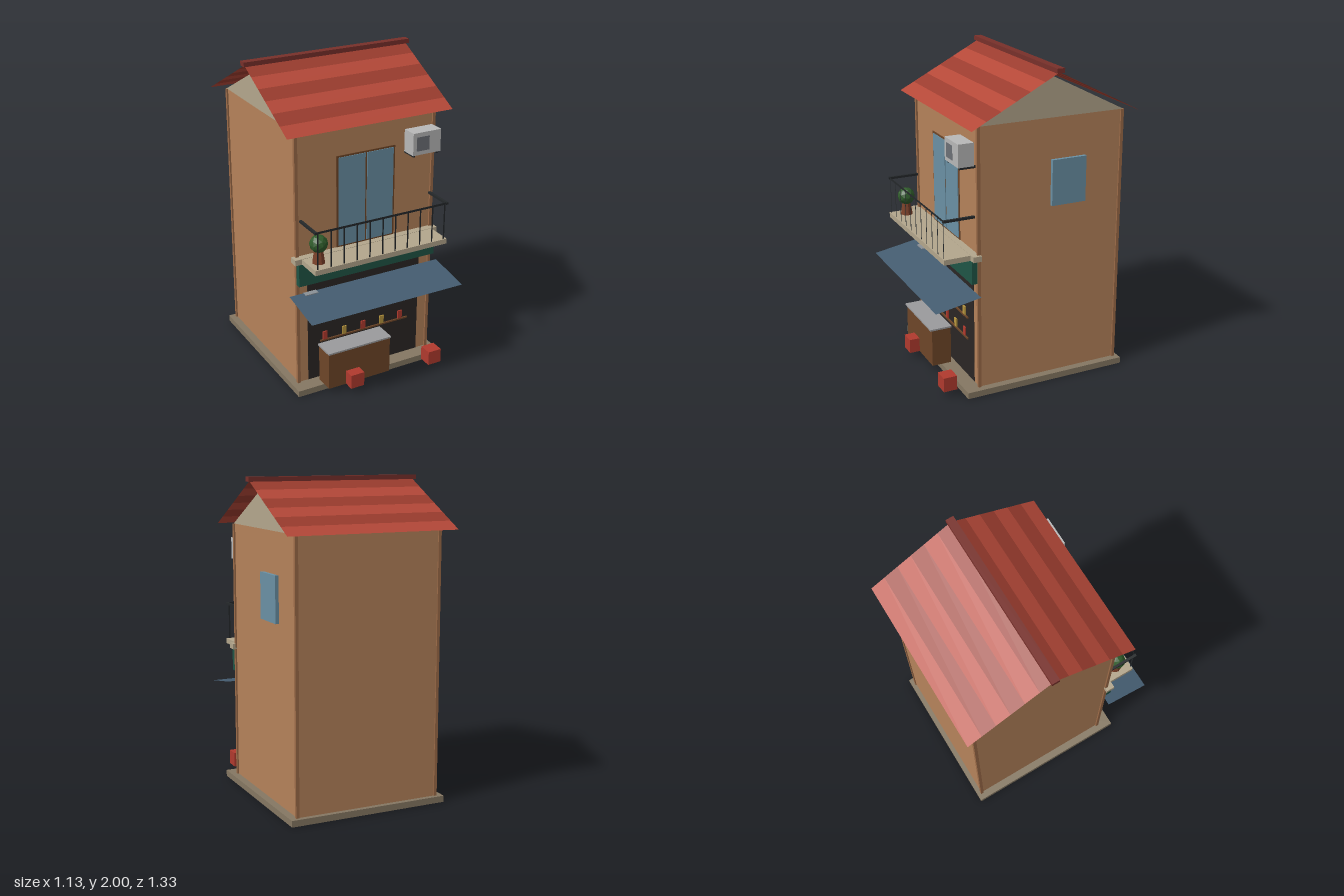
import * as THREE from 'three';

const cache = {};
function mat(color) {
  return cache[color] ??= new THREE.MeshStandardMaterial({ color, flatShading: true, side: THREE.DoubleSide });
}

function add(group, name, geometry, color) {
  const mesh = new THREE.Mesh(geometry, mat(color));
  mesh.name = name;
  group.add(mesh);
  return mesh;
}

// Box given by its extents on each axis
function box(group, name, [x0, x1], [y0, y1], [z0, z1], color) {
  const mesh = add(group, name, new THREE.BoxGeometry(x1 - x0, y1 - y0, z1 - z0), color);
  mesh.position.set((x0 + x1) / 2, (y0 + y1) / 2, (z0 + z1) / 2);
  return mesh;
}

// Thin sheet running along x between two (y, z) edges
function sheet(group, name, halfWidth, [ya, za], [yb, zb], color) {
  const mesh = add(group, name, new THREE.PlaneGeometry(2 * halfWidth, Math.hypot(yb - ya, zb - za)), color);
  mesh.position.set(0, (ya + yb) / 2, (za + zb) / 2);
  mesh.rotation.x = Math.atan2(zb - za, yb - ya);
  return mesh;
}

const WALL = 0xb5825a, TRIM = 0x9c6b48, STONE = 0x857762, TAN = 0xb3a68c, RED = 0xb03a2e,
  YELLOW = 0xb8963e, WOOD = 0x6e4628, DARK = 0x2a2624, GLASS = 0x6a90a4, IRON = 0x24282a;
const MID = -0.113; // z of the ridge

function building(g) {
  box(g, 'basePlinth', [-0.515, 0.515], [0, 0.04], [-0.62, 0.458], STONE);
  box(g, 'walls', [-0.468, 0.468], [0.04, 1.692], [-0.59, 0.361], WALL);
  for (const x of [-0.468, 0.468]) {
    for (const z of [-0.587, 0.362]) {
      box(g, 'cornerTrim', [x - 0.01, x + 0.01], [0.04, 1.692], [z - 0.01, z + 0.01], TRIM);
    }
  }
  // Side window on the model's left wall
  box(g, 'sideWindow', [0.465, 0.49], [1.152, 1.438], [-0.34, -0.112], GLASS);
}

function roof(g) {
  // Attic gable prism
  const tri = new THREE.Shape([[-0.595, 1.692], [0.37, 1.692], [MID, 1.938]].map(p => new THREE.Vector2(-p[0], p[1])));
  const gable = add(g, 'gables', new THREE.ExtrudeGeometry(tri, { depth: 0.94, bevelEnabled: false }), TAN);
  gable.rotation.y = Math.PI / 2;
  gable.position.x = -0.47;
  // Striped slopes
  const bands = 6, run = 0.551, rise = 0.283;
  for (const side of [-1, 1]) {
    for (let i = 0; i < bands; i++) {
      const at = t => [1.692 + rise * t, MID + side * run * (1 - t)];
      sheet(g, 'roofBand', 0.553, at(i / bands), at((i + 1) / bands), i % 2 ? 0x9a3c2e : 0xb44838);
    }
  }
  box(g, 'ridgeCap', [-0.567, 0.567], [1.972, 2], [MID - 0.025, MID + 0.025], 0x78302a);
}

function shop(g) {
  box(g, 'shopOpening', [-0.4, 0.395], [0.04, 0.727], [0.35, 0.3635], DARK);
  [0.298, 0.44, 0.582].forEach((y, row) => {
    box(g, 'shelf', [-0.318, 0.315], [y - 0.005, y + 0.005], [0.355, 0.373], WOOD);
    for (let i = 0; i < 5; i++) {
      const x = -0.283 + i * 0.136;
      box(g, 'shelfGoods', [x - 0.015, x + 0.015], [y + 0.005, y + 0.06], [0.358, 0.372], (row + i) % 2 ? YELLOW : RED);
    }
  });
  // Counter and crates
  box(g, 'counter', [-0.338, 0.097], [0.04, 0.285], [0.392, 0.52], WOOD);
  box(g, 'counterTop', [-0.343, 0.1], [0.285, 0.296], [0.387, 0.53], 0x9a9a9c);
  for (const x of [-0.172, 0.396]) {
    box(g, 'crate', [x - 0.046, x + 0.046], [0.042, 0.135], [0.5, 0.588], RED);
  }
  box(g, 'signBoard', [-0.477, 0.477], [0.735, 0.88], [0.375, 0.41], 0x1f5546);
  sheet(g, 'awning', 0.525, [0.665, 0.372], [0.615, 0.662], 0x445c70);
  box(g, 'meterBox', [-0.43, -0.345], [0.56, 0.665], [0.365, 0.403], 0x8a9096);
}

function balcony(g) {
  box(g, 'stringCourse', [-0.5, 0.495], [0.88, 0.915], [0.352, 0.407], TAN);
  box(g, 'balconySlab', [-0.455, 0.455], [0.88, 0.913], [0.36, 0.577], TAN);
  // Railing
  for (let i = 0; i < 11; i++) {
    const bar = add(g, 'baluster', new THREE.PlaneGeometry(0.01, 0.235), IRON);
    bar.position.set(-0.435 + i * 0.087, 1.03, 0.57);
  }
  sheet(g, 'frontRail', 0.455, [1.142, 0.572], [1.156, 0.572], IRON);
  for (const x of [-0.448, 0.448]) {
    box(g, 'sideRail', [x - 0.008, x + 0.008], [1.142, 1.156], [0.378, 0.577], IRON);
  }
  // Glazed double door
  box(g, 'doorFrame', [-0.2, 0.2], [0.915, 1.503], [0.35, 0.365], WOOD);
  for (const s of [-1, 1]) {
    box(g, 'doorGlass', s < 0 ? [-0.188, -0.006] : [0.006, 0.188], [0.925, 1.492], [0.355, 0.369], GLASS);
  }
  // Potted shrub
  const pot = add(g, 'plantPot', new THREE.CylinderGeometry(0.026, 0.04, 0.09, 8), 0x7a4028);
  pot.position.set(-0.385, 0.958, 0.485);
  const shrub = add(g, 'shrub', new THREE.IcosahedronGeometry(0.056, 1), 0x2f5a2a);
  shrub.position.set(-0.385, 1.035, 0.485);
}

function airConditioner(g) {
  box(g, 'coolerCase', [0.256, 0.449], [1.457, 1.597], [0.378, 0.477], 0xb8b8b8);
  box(g, 'coolerGrille', [0.28, 0.368], [1.482, 1.57], [0.47, 0.479], 0x6c7076);
  for (const x of [0.272, 0.434]) {
    box(g, 'coolerBracket', [x - 0.006, x + 0.006], [1.442, 1.457], [0.36, 0.465], IRON);
  }
}

export function createModel() {
  const model = new THREE.Group();
  model.name = 'shophouse';
  for (const [name, build] of Object.entries({ building, roof, shop, balcony, airConditioner })) {
    const part = new THREE.Group();
    part.name = name;
    build(part);
    model.add(part);
  }
  return model;
}
